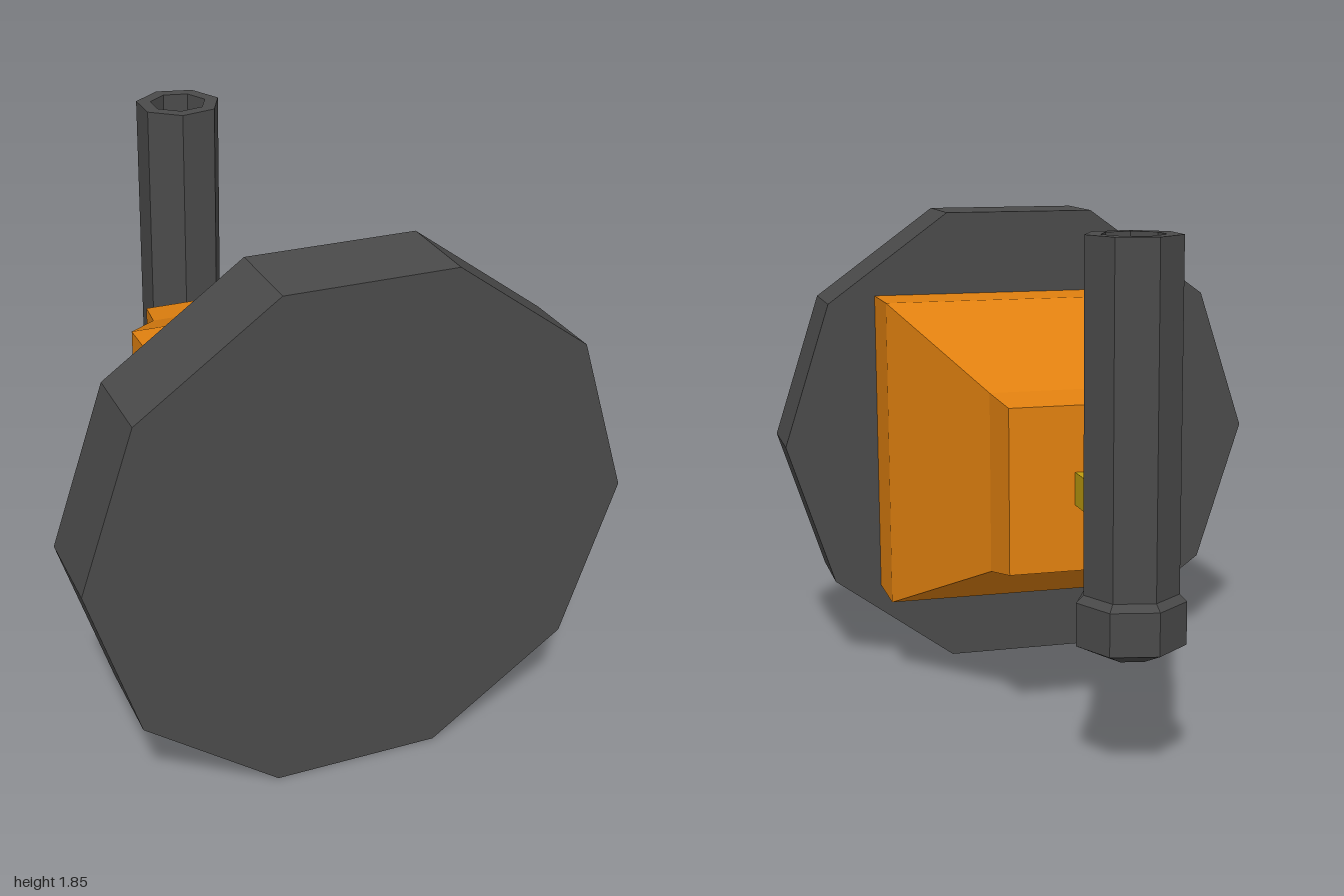
import * as THREE from 'three';

const paint = (color) => new THREE.MeshStandardMaterial({ color, flatShading: true });

// Faceted solid turned around the y axis; profile is [radius, height] from bottom to top
function turned(profile, sides, start) {
  const points = profile.map(([r, h]) => new THREE.Vector2(r, h));
  return new THREE.LatheGeometry(points, sides, start);
}

export function createModel() {
  const group = new THREE.Group();
  const dark = paint(0x4a4a4a);
  const orange = paint(0xe0800f);
  const yellow = paint(0xbf9d10);
  const midY = 0.92;

  const add = (name, geometry, material, x, y, z) => {
    const mesh = new THREE.Mesh(geometry, material);
    mesh.name = name;
    mesh.position.set(x, y, z);
    group.add(mesh);
  };

  // Ten-sided front disc
  const disc = new THREE.CylinderGeometry(0.965, 0.965, 0.32, 10, 1, false, Math.PI / 2);
  add('frontDisc', disc.rotateX(Math.PI / 2), dark, 0, midY, 0.84);

  // Square tapering housing, given as [half width, z] sections
  const sections = [[0, -0.345], [0.302, -0.345], [0.33, -0.175], [0.595, 0.42], [0.595, 0.68], [0, 0.68]];
  const housing = turned(sections.map(([w, z]) => [w * Math.SQRT2, z]), 4, Math.PI / 4);
  add('housing', housing.rotateX(Math.PI / 2), orange, 0, midY, 0);

  // Square rod joining the housing to the pipe
  add('connectingRod', new THREE.BoxGeometry(0.12, 0.12, 0.34), yellow, 0, midY, -0.505);

  // Seven-sided upright pipe with a collared foot and an open top
  const pipe = turned([
    [0, 0.445], [0.092, 0.445], [0.19, 0.49], [0.19, 0.64], [0.165, 0.665],
    [0.165, 1.855], [0.11, 1.855], [0.11, 1.5], [0, 1.5],
  ], 7, Math.PI / 2);
  add('uprightPipe', pipe, dark, 0, 0, -0.81);

  return group;
}
